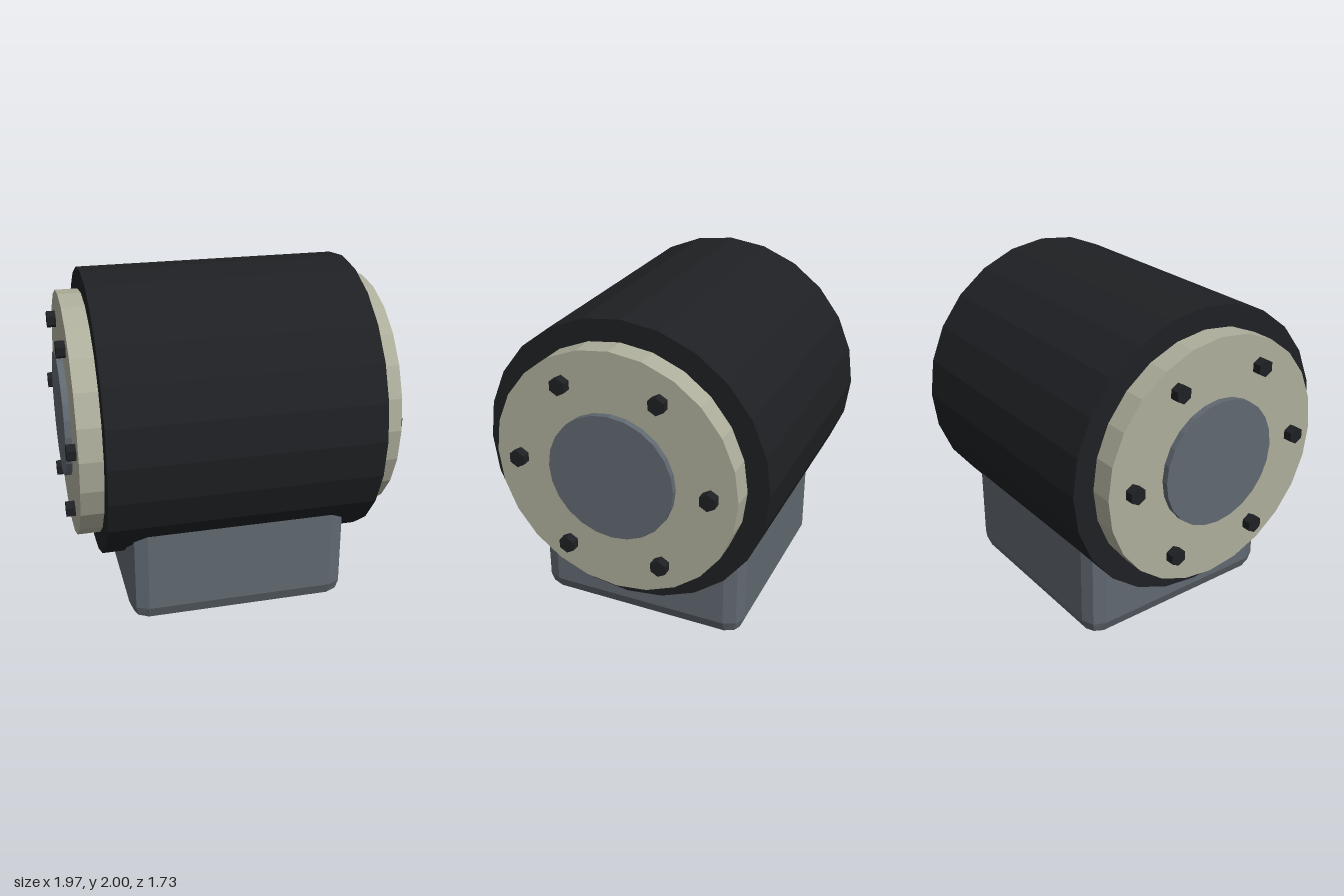
import * as THREE from 'three';
import { RoundedBoxGeometry } from 'three/addons/geometries/RoundedBoxGeometry.js';

const AXIS_Y = 1.135; // height of the drum axis

const paint = (color) => new THREE.MeshStandardMaterial({ color, flatShading: true });

// Cylinder lying along x, spanning x0..x1
function axle(name, radius, x0, x1, sides, material, y = AXIS_Y, z = 0, turn = 0) {
  const geometry = new THREE.CylinderGeometry(radius, radius, x1 - x0, sides, 1, false, turn);
  geometry.rotateZ(Math.PI / 2);
  const mesh = new THREE.Mesh(geometry, material);
  mesh.name = name;
  mesh.position.set((x0 + x1) / 2, y, z);
  return mesh;
}

export function createModel() {
  const dark = paint(0x1e2023);
  const cream = paint(0xaeae9c);
  const slate = paint(0x606870);
  const model = new THREE.Group();
  model.name = 'drumOnBase';

  // Drum
  model.add(axle('drum', 0.865, -0.797, 0.797, 24, dark));

  // Base block with bevelled edges, its top hidden in the drum
  const baseHeight = 0.9;
  const base = new THREE.Mesh(new RoundedBoxGeometry(1.33, baseHeight, 1.33, 1, 0.105), slate);
  base.name = 'base';
  base.position.y = baseHeight / 2;
  model.add(base);

  // End caps: flange, hub and a ring of six hex bolts on each side
  for (const side of [1, -1]) {
    const cap = new THREE.Group();
    cap.name = side > 0 ? 'leftEndCap' : 'rightEndCap';
    const add = (name, radius, inner, outer, sides, material, y, z, turn) => {
      const [x0, x1] = side > 0 ? [inner, outer] : [-outer, -inner];
      cap.add(axle(name, radius, x0, x1, sides, material, y, z, turn));
    };
    add('flange', 0.737, 0.75, 0.932, 24, cream);
    add('hub', 0.379, 0.85, 0.97, 24, slate);
    for (let i = 0; i < 6; i++) {
      const a = (i * Math.PI) / 3;
      add('bolt', 0.052, 0.88, 0.985, 6, dark,
        AXIS_Y + 0.58 * Math.sin(a), 0.58 * Math.cos(a), Math.PI / 6);
    }
    model.add(cap);
  }
  return model;
}
